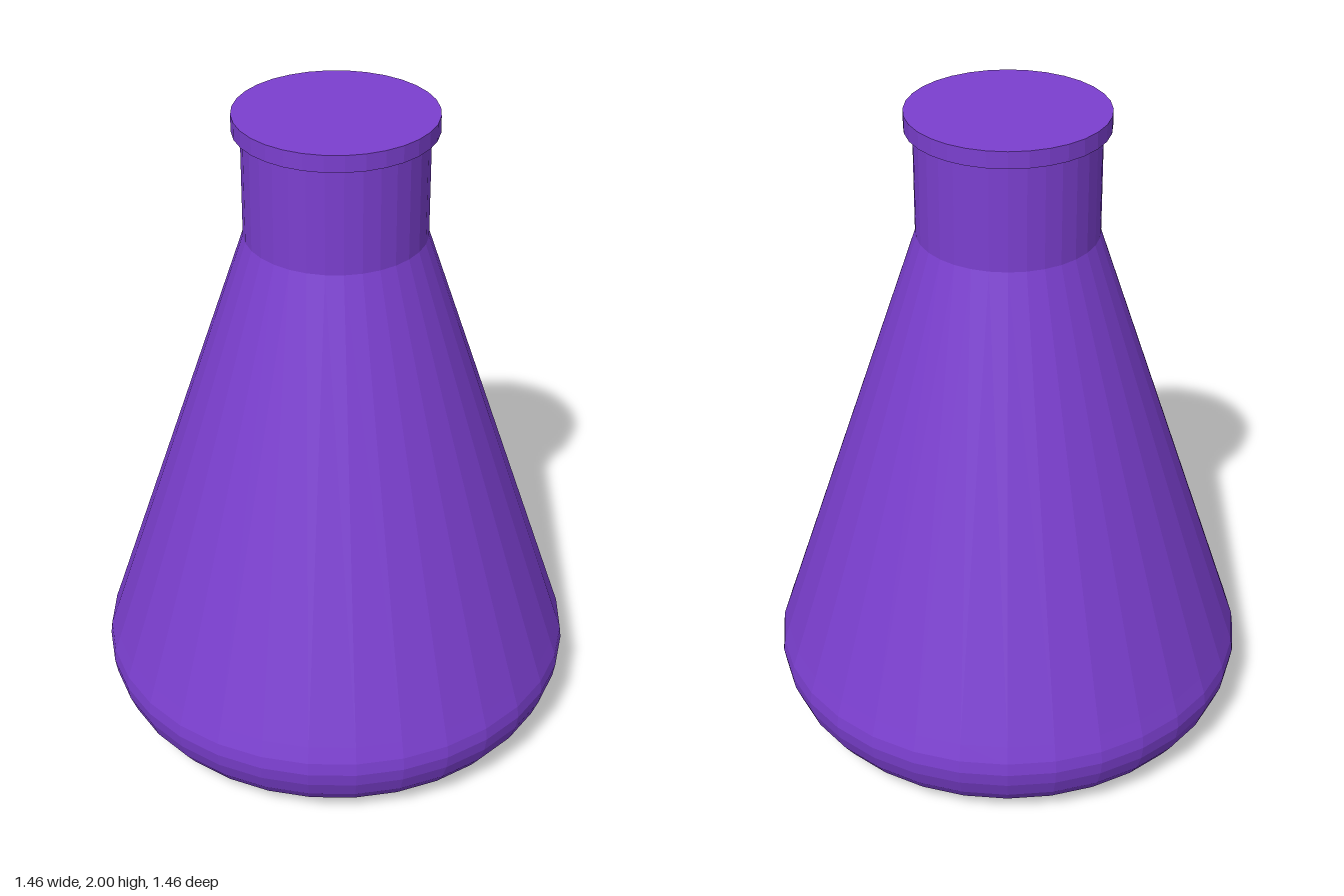
import * as THREE from 'three';

const SIDES = 32;

export function createModel() {
  const flask = new THREE.Group();
  flask.name = 'conicalFlask';
  const material = new THREE.MeshStandardMaterial({ color: 0x7b3fcf, flatShading: true });

  const addLathe = (name, profile) => {
    const points = profile.map(([r, y]) => new THREE.Vector2(r, y));
    const mesh = new THREE.Mesh(new THREE.LatheGeometry(points, SIDES), material);
    mesh.name = name;
    flask.add(mesh);
  };

  // Flat base, rounded bottom edge and sloping cone
  addLathe('body', [
    [0, 0], [0.5, 0], [0.56, 0.01], [0.62, 0.032], [0.67, 0.065], [0.702, 0.11],
    [0.723, 0.165], [0.73, 0.21], [0.725, 0.25], [0.708, 0.3], [0.267, 1.63],
  ]);

  // Straight neck
  addLathe('neck', [[0.267, 1.63], [0.267, 1.95]]);

  // Closed rim at the top
  addLathe('rim', [[0.267, 1.95], [0.292, 1.95], [0.292, 2], [0, 2]]);

  return flask;
}
